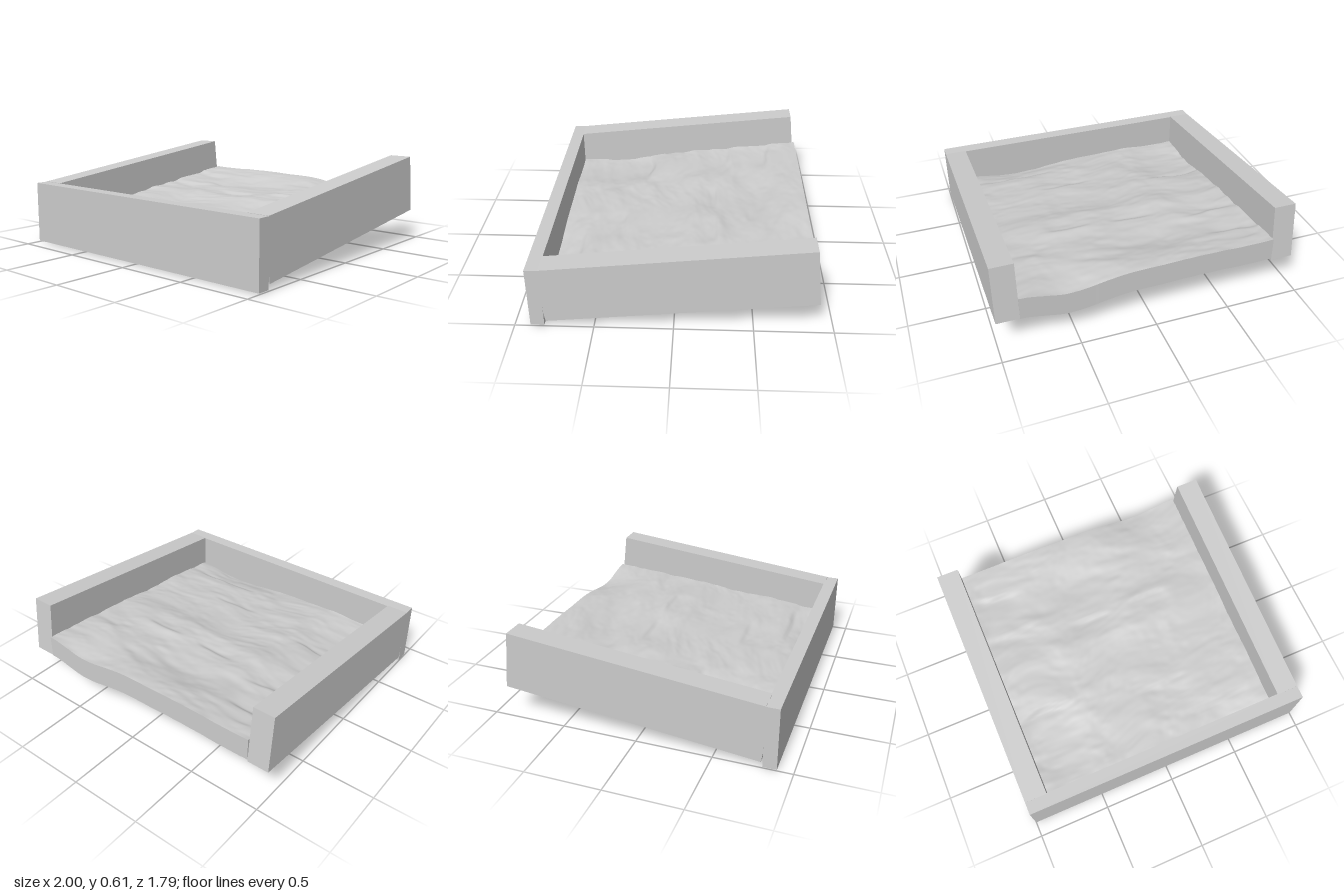
import * as THREE from 'three';

const material = new THREE.MeshStandardMaterial({ color: 0xcccccc });

// Repeatable value noise in the range -1..1
function hash(i, j) {
  let h = Math.imul(i, 374761393) + Math.imul(j, 668265263) + 1013;
  h = Math.imul(h ^ (h >>> 13), 1274126177);
  return (((h ^ (h >>> 16)) >>> 0) / 4294967295) * 2 - 1;
}

function noise(x, z) {
  const i = Math.floor(x), j = Math.floor(z);
  const u = THREE.MathUtils.smoothstep(x - i, 0, 1);
  const v = THREE.MathUtils.smoothstep(z - j, 0, 1);
  const { lerp } = THREE.MathUtils;
  return lerp(lerp(hash(i, j), hash(i + 1, j), u), lerp(hash(i, j + 1), hash(i + 1, j + 1), u), v);
}

// Broad hollows and swells: x, z, radius x, radius z, height
const swells = [
  [0.45, 0.85, 0.26, 0.14, -0.045],
  [-0.72, 0.5, 0.3, 0.2, -0.04],
  [0.5, -0.92, 0.22, 0.2, -0.055],
  [-0.2, -0.52, 0.4, 0.15, -0.03],
  [0.1, -0.12, 0.8, 0.12, 0.02],
  [0.35, -0.28, 0.25, 0.08, 0.015],
];

// Ledges that drop sharply towards the front: x, z, half width, drop
const ledges = [
  [-0.64, 0.24, 0.2, 0.025],
  [-0.1, -0.25, 0.15, 0.02],
  [0.35, -0.24, 0.14, 0.02],
  [-0.65, -0.38, 0.2, 0.015],
  [0.2, 0.36, 0.16, 0.015],
  [0.5, 0.66, 0.25, 0.02],
  [-0.7, -0.68, 0.16, 0.02],
];

function relief(x, z) {
  let h = 0.005;
  for (const [cx, cz, rx, rz, a] of swells) {
    h += a * Math.exp(-(((x - cx) / rx) ** 2) - ((z - cz) / rz) ** 2);
  }
  for (const [cx, cz, w, drop] of ledges) {
    const d = z - cz - 0.04 * noise(x * 6 + 9, cz * 7);
    const across = Math.exp(-(((x - cx) / w) ** 4));
    h -= drop * across * THREE.MathUtils.smoothstep(d, -0.02, 0.02) * Math.exp(-Math.max(d, 0) * 7);
  }
  // Layered grain, stretched sideways
  const wx = x + 0.08 * noise(x * 4, z * 4 + 30);
  const wz = z + 0.06 * noise(x * 3 + 50, z * 3);
  h += 0.009 * noise(wx * 2.2 + 7, wz * 5) + 0.006 * noise(wx * 4.5, wz * 11 + 3);
  h += 0.003 * noise(wx * 9, wz * 24) + 0.0012 * noise(wx * 22, wz * 45);
  return h;
}

// Height of the sloping underside line of the frame
const slope = (z) => 0.06 + 0.106 * (0.81 - z);

function rockSlab() {
  const geo = new THREE.BoxGeometry(1.7, 1, 1.7, 130, 1, 130);
  const pos = geo.attributes.position;
  for (let i = 0; i < pos.count; i++) {
    const x = pos.getX(i);
    const top = pos.getY(i) > 0;
    const z = pos.getZ(i) - 0.045;
    const y = slope(z) + relief(x, z) + (top ? 0.155 : 0);
    pos.setXYZ(i, x, Math.max(y, 0.003), top ? z + 0.003 : z);
  }
  geo.computeVertexNormals();
  return geo;
}

// Side wall profile in (z, y), extruded across its thickness
function sideWall() {
  const profile = new THREE.Shape([
    [0.8, 0.06], [0.81, 0.12], [0.815, 0.449], [-0.85, 0.63], [-0.895, 0.24],
  ].map(([z, y]) => new THREE.Vector2(z, y)));
  const geo = new THREE.ExtrudeGeometry(profile, { depth: 0.15, bevelEnabled: false });
  geo.rotateY(-Math.PI / 2);
  return geo;
}

export function createModel() {
  const model = new THREE.Group();
  model.name = 'framedRockBed';
  const add = (name, geo, x = 0, y = 0, z = 0) => {
    const mesh = new THREE.Mesh(geo, material);
    mesh.name = name;
    mesh.position.set(x, y, z);
    model.add(mesh);
  };

  add('frontWall', new THREE.BoxGeometry(2, 0.42, 0.088), 0, 0.237, 0.855);
  const wall = sideWall();
  add('leftWall', wall, 1);
  add('rightWall', wall, -0.85);
  add('rockSlab', rockSlab());
  return model;
}
